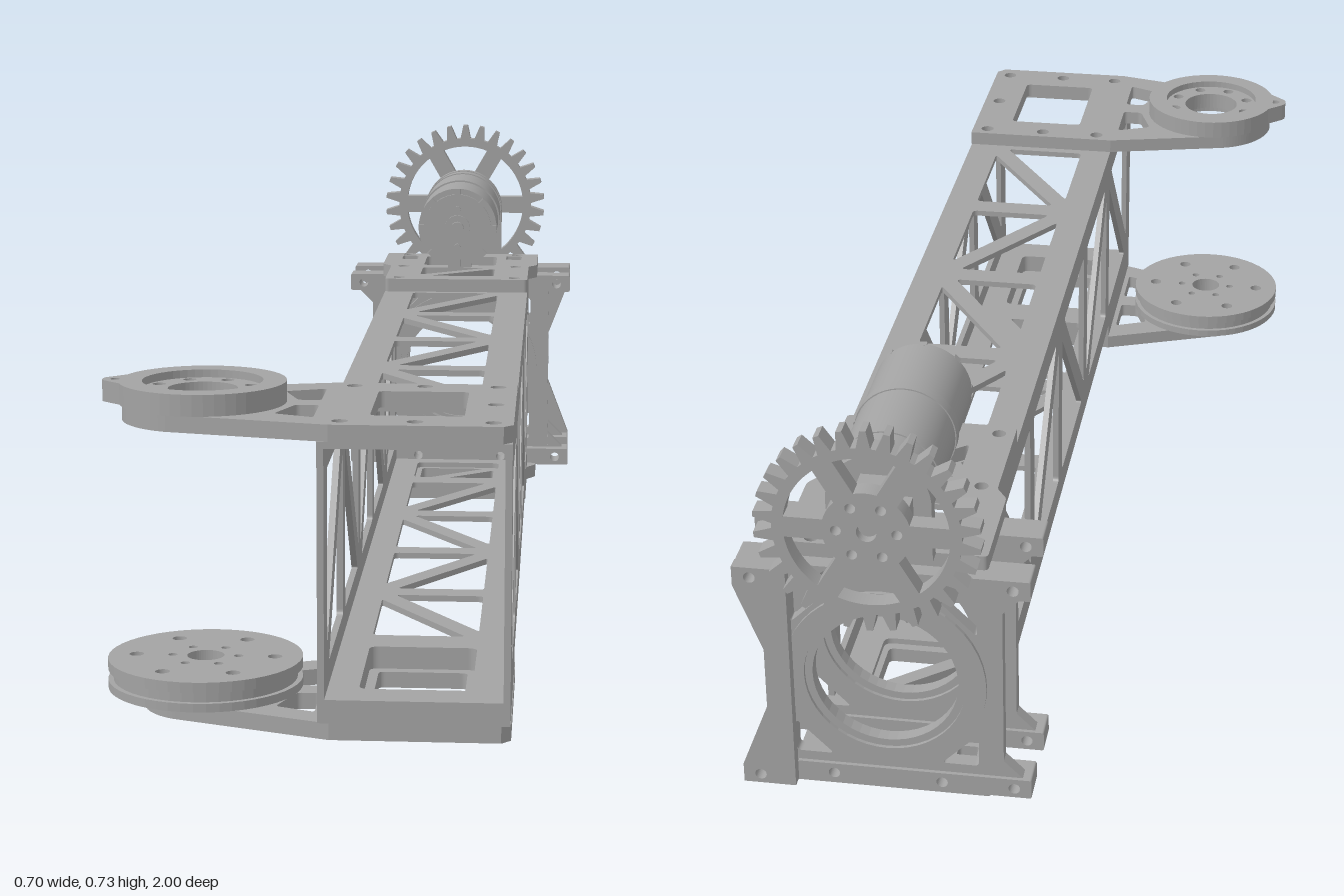
import * as THREE from 'three';

const metal = new THREE.MeshStandardMaterial({ color: 0xa3a3a3 });
metal.name = 'grey metal';

// Closed polygon with softened corners
function path(pts, r = 0, Type = THREE.Path) {
  const p = new Type();
  if (!r) return p.setFromPoints(pts.map(([x, y]) => new THREE.Vector2(x, y)));
  const v = pts.map(([x, y]) => new THREE.Vector2(x, y));
  v.forEach((c, i) => {
    const a = v[(i + v.length - 1) % v.length], b = v[(i + 1) % v.length];
    const s = c.clone().add(a.clone().sub(c).setLength(r));
    const e = c.clone().add(b.clone().sub(c).setLength(r));
    if (i) p.lineTo(s.x, s.y); else p.moveTo(s.x, s.y);
    p.quadraticCurveTo(c.x, c.y, e.x, e.y);
  });
  p.closePath();
  return p;
}
const rect = (x0, x1, y0, y1, r = 0, Type) => path([[x0, y0], [x1, y0], [x1, y1], [x0, y1]], r, Type);
function circle(x, y, r, Type = THREE.Path) {
  const p = new Type();
  p.absarc(x, y, r, 0, Math.PI * 2, false);
  return p;
}
// Two triangular windows leaving a diagonal brace
function truss(u0, u1, v0, v1, rising, w = 0.04) {
  const W = u1 - u0, H = v1 - v0, L = Math.hypot(W, H);
  const d = (w / 2) * L / W, e = (w / 2) * L / H;
  const flip = ([u, v]) => [rising ? u : u0 + u1 - u, v];
  return [
    [[u0, v0 + d], [u0, v1], [u1 - e, v1]],
    [[u0 + e, v0], [u1, v0], [u1, v1 - d]],
  ].map(t => path(t.map(flip), 0.01));
}

export function createModel() {
  const model = new THREE.Group();
  const add = (name, geo, x = 0, y = 0, z = 0) => {
    const m = new THREE.Mesh(geo, metal);
    m.name = name;
    m.position.set(x, y, z);
    model.add(m);
    return m;
  };
  const extrude = (shape, holes, depth) => {
    shape.holes.push(...holes);
    return new THREE.ExtrudeGeometry(shape, { depth, bevelEnabled: false, curveSegments: 24 });
  };
  // Horizontal plates are drawn in (x, -z), side plates in (-z, y), upright ones in (x, y)
  const flat = (name, s, h, y0, y1) => add(name, extrude(s, h, y1 - y0).rotateX(-Math.PI / 2), 0, y0, 0);
  const side = (name, s, h, x0, x1) => add(name, extrude(s, h, x1 - x0).rotateY(Math.PI / 2), x0, 0, 0);
  const upright = (name, s, h, z0, z1) => add(name, extrude(s, h, z1 - z0), 0, 0, z0);
  const box = (name, x0, x1, y0, y1, z0, z1) =>
    add(name, new THREE.BoxGeometry(x1 - x0, y1 - y0, z1 - z0), (x0 + x1) / 2, (y0 + y1) / 2, (z0 + z1) / 2);
  const S = THREE.Shape;
  const X0 = -0.016, X1 = 0.263, CX = 0.1235;

  // Lattice beam: two side walls, top and bottom walls
  for (const x of [X0, X1 - 0.01]) {
    const holes = [];
    for (let i = 0; i < 5; i++) {
      const u = -0.943 + i * 0.3285;
      holes.push(...truss(u, u + 0.285, 0.095, 0.39, i % 2 === 0));
    }
    side('beamSideWall', rect(-1, 0.713, 0.05, 0.44, 0, S), holes, x, x + 0.01);
  }
  for (const y of [0.05, 0.43]) {
    const holes = [rect(0.04, 0.206, -0.94, -0.712, 0.015), rect(0.04, 0.206, 0.535, 0.68, 0.015)];
    for (let i = 0; i < 4; i++) {
      const v = 0.235 - i * 0.2935;
      holes.push(...truss(0.04, 0.206, v, v + 0.25, i % 2 === 0, 0.034));
    }
    flat('beamCoverWall', rect(X0 + 0.01, X1 - 0.01, -1, 0.713, 0, S), holes, y, y + 0.01);
  }

  // Pivot arm plates at the front end
  const PX = -0.2, PZ = 0.83;
  const screwHoles = () => [[0.015, -0.685], [0.123, -0.685], [0.235, -0.685], [0.235, -0.83],
    [0.015, -0.97], [0.123, -0.97], [0.235, -0.97]].map(([x, y]) => circle(x, y, 0.012));
  const pivotPlate = (name, r, hole, y0, y1) => {
    const s = new S();
    s.moveTo(0.264, -0.985);
    s.lineTo(0.264, -0.662);
    s.lineTo(-0.016, -0.662);
    s.absarc(PX, -PZ, r, Math.PI * 0.58, Math.PI * 1.39, false);
    s.lineTo(0, -1);
    s.lineTo(0.25, -1);
    s.closePath();
    const holes = [rect(0.055, 0.192, -0.925, -0.73, 0.01), circle(PX, -PZ, hole), ...screwHoles()];
    for (const k of [1, -1])
      holes.push(path([[-0.025, -PZ + k * 0.02], [-0.025, -PZ + k * 0.115], [-0.085, -PZ + k * 0.09], [-0.06, -PZ + k * 0.02]], 0.008));
    flat(name, s, holes, y0, y1);
  };
  pivotPlate('upperPivotPlate', 0.12, 0.07, 0.44, 0.465);
  pivotPlate('lowerPivotPlate', 0.092, 0.03, 0, 0.025);
  flat('lowerPivotSpacer', rect(X0, X1, -1, -0.662, 0, S), [rect(0.04, 0.206, -0.94, -0.712, 0.015), ...screwHoles()], 0.025, 0.05);

  // Bearing ring with ears on the upper plate
  flat('bearingRing', circle(PX, -PZ, 0.125, S), [circle(PX, -PZ, 0.09)], 0.465, 0.497);
  const race = [circle(PX, -PZ, 0.052)];
  for (let i = 0; i < 8; i++) {
    const a = i * Math.PI / 4 + 0.39;
    race.push(circle(PX + 0.075 * Math.cos(a), -PZ + 0.075 * Math.sin(a), 0.01));
  }
  flat('bearingRace', circle(PX, -PZ, 0.092, S), race, 0.455, 0.485);
  flat('bearingEar', path([[-0.3, -0.775], [-0.35, -0.82], [-0.35, -0.84], [-0.3, -0.885]], 0.008, S),
    [circle(-0.33, -PZ, 0.008)], 0.465, 0.497);

  // Grooved pulley on the lower plate
  const pulleyHoles = () => {
    const h = [circle(PX, -PZ, 0.028)];
    for (let i = 0; i < 6; i++) {
      const a = i * Math.PI / 3;
      h.push(circle(PX + 0.105 * Math.cos(a), -PZ + 0.105 * Math.sin(a), 0.011));
      h.push(circle(PX + 0.05 * Math.cos(a), -PZ + 0.05 * Math.sin(a), 0.007));
    }
    return h;
  };
  for (const [r, y0, y1] of [[0.147, 0.03, 0.043], [0.139, 0.043, 0.059], [0.147, 0.059, 0.075]])
    flat('pulleyDisc', circle(PX, -PZ, r, S), pulleyHoles(), y0, y1);
  flat('pulleyHub', circle(PX, -PZ, 0.045, S), [circle(PX, -PZ, 0.028)], 0.02, 0.031);

  // Rear mounting plates above and below the beam
  for (const [y0, y1] of [[0.025, 0.05], [0.44, 0.465]]) {
    const holes = [...truss(0.05, 0.196, 0.55, 0.67, true, 0.025), rect(0.05, 0.196, 0.71, 0.84, 0.01),
      rect(0, 0.032, 0.8, 0.85, 0.005), rect(0.215, 0.247, 0.8, 0.85, 0.005)];
    for (const x of [0.01, 0.237]) for (const v of [0.525, 0.69, 0.875]) holes.push(circle(x, v, 0.011));
    flat('rearMountPlate', path([[X0, 0.5], [X1, 0.5], [X1, 0.695], [0.28, 0.72], [0.28, 0.89],
      [-0.034, 0.89], [-0.034, 0.72], [X0, 0.695]], 0.008, S), holes, y0, y1);
  }

  // Two bearing frames across the rear end
  const CY = 0.244;
  for (const z of [-0.79, -0.915]) {
    const corners = [];
    for (const sx of [1, -1]) for (const sy of [1, -1])
      corners.push(path([[0.143, 0.148], [0.085, 0.148], [0.143, 0.09]].map(([x, y]) => [CX + sx * x, CY + sy * y]), 0.008));
    upright('bearingFrame', rect(-0.058, 0.304, 0.08, 0.408, 0, S), [circle(CX, CY, 0.145), ...corners], z + 0.006, z + 0.028);
    upright('frameRing', circle(CX, CY, 0.157, S), [circle(CX, CY, 0.125)], z, z + 0.034);
    upright('innerRing', circle(CX, CY, 0.127, S), [circle(CX, CY, 0.113)], z + 0.006, z + 0.028);
    for (const [y0, y1, w, v] of [[0.047, 0.08, 0.063, 0.085], [0.408, 0.441, 0.424, 0.403]]) {
      upright('frameBar', rect(-0.102, 0.347, y0, y1, 0.004, S),
        [-0.075, 0.038, 0.208, 0.32].map(x => circle(x, w, 0.009)), z, z + 0.052);
      // small fillets between the bars and the posts
      for (const k of [1, -1]) {
        const dir = v < CY ? 1 : -1, x = CX + k * 0.181;
        const pts = [[x, v - dir * 0.01], [x + k * 0.035, v - dir * 0.01], [x, v + dir * 0.025]];
        upright('frameFillet', path(pts, 0, S), [], z + 0.006, z + 0.028);
      }
    }
  }
  // Notched strip on the outer side of the rear frame
  upright('sideGusset', path([[0.265, 0.047], [0.347, 0.047], [0.347, 0.08], [0.304, 0.192], [0.304, 0.296],
    [0.347, 0.408], [0.347, 0.441], [0.265, 0.441]], 0, S), [circle(0.32, 0.063, 0.009), circle(0.32, 0.424, 0.009)], -0.935, -0.914);

  // Motor with its end cap, bands and shaft
  const MY = 0.56;
  const rod = (name, r, z0, z1, n = 48) =>
    add(name, new THREE.CylinderGeometry(r, r, z1 - z0, n).rotateX(Math.PI / 2), CX, MY, (z0 + z1) / 2);
  rod('motorBody', 0.077, -0.7, -0.56);
  rod('motorCap', 0.066, -0.57, -0.553);
  rod('motorBoss', 0.025, -0.56, -0.547, 24);
  rod('motorTip', 0.013, -0.56, -0.535, 20);
  rod('motorBand', 0.08, -0.712, -0.69);
  rod('gearboxBody', 0.078, -0.895, -0.712);
  rod('gearboxBand', 0.08, -0.845, -0.838);
  for (let i = 0; i < 8; i++) {
    const a = i * Math.PI / 4;
    const tab = add('capTab', new THREE.BoxGeometry(0.014, 0.012, 0.012), CX + 0.07 * Math.cos(a), MY + 0.07 * Math.sin(a), -0.558);
    tab.rotation.z = a;
  }
  for (const y of [-0.037, 0.037])
    add('capScrew', new THREE.CylinderGeometry(0.006, 0.006, 0.01, 12).rotateX(Math.PI / 2), CX, MY + y, -0.55);

  // Motor supports
  const holder = new S();
  holder.moveTo(0.044, 0.465);
  holder.lineTo(0.203, 0.465);
  holder.absarc(CX, MY, 0.0795, 0, Math.PI, false);
  holder.closePath();
  upright('motorHolder', holder, [], -0.915, -0.892);
  box('motorSupport', 0.1, 0.147, 0.46, 0.487, -0.69, -0.675);
  for (let i = 0; i < 3; i++) box('ribbedPin', 0.106 + i * 0.013, 0.115 + i * 0.013, 0.38, 0.43, -0.775, -0.755);
  box('ribbedPinCore', 0.108, 0.139, 0.382, 0.428, -0.772, -0.76);

  // Output shaft, clamp hub and spur gear
  rod('outputShaft', 0.016, -0.985, -0.89, 20);
  rod('clampHub', 0.035, -0.972, -0.955, 24);
  box('clampBlock', CX - 0.055, CX + 0.055, MY - 0.022, MY + 0.022, -0.963, -0.928);
  box('clampBlock', CX - 0.022, CX + 0.022, MY - 0.055, MY + 0.055, -0.963, -0.928);
  const TEETH = 30, step = Math.PI * 2 / TEETH, teeth = [];
  for (let i = 0; i < TEETH; i++)
    for (const [o, r] of [[-0.36, 0.14], [-0.25, 0.152], [-0.13, 0.168], [0.13, 0.168], [0.25, 0.152], [0.36, 0.14]]) {
      const a = (i + 0.5 + o) * step;
      teeth.push([CX + r * Math.cos(a), MY + r * Math.sin(a)]);
    }
  const gearHoles = [circle(CX, MY, 0.015)];
  for (let i = 0; i < 6; i++) {
    const w = new THREE.Path(), a = i * Math.PI / 3, b = a + Math.PI / 3;
    const gi = Math.asin(0.017 / 0.066), go = Math.asin(0.017 / 0.123);
    w.absarc(CX, MY, 0.123, a + go, b - go, false);
    w.absarc(CX, MY, 0.066, b - gi, a + gi, true);
    w.closePath();
    gearHoles.push(w, circle(CX + 0.045 * Math.cos(a), MY + 0.045 * Math.sin(a), 0.008));
  }
  upright('spurGear', path(teeth, 0, S), gearHoles, -1, -0.971);

  return model;
}
